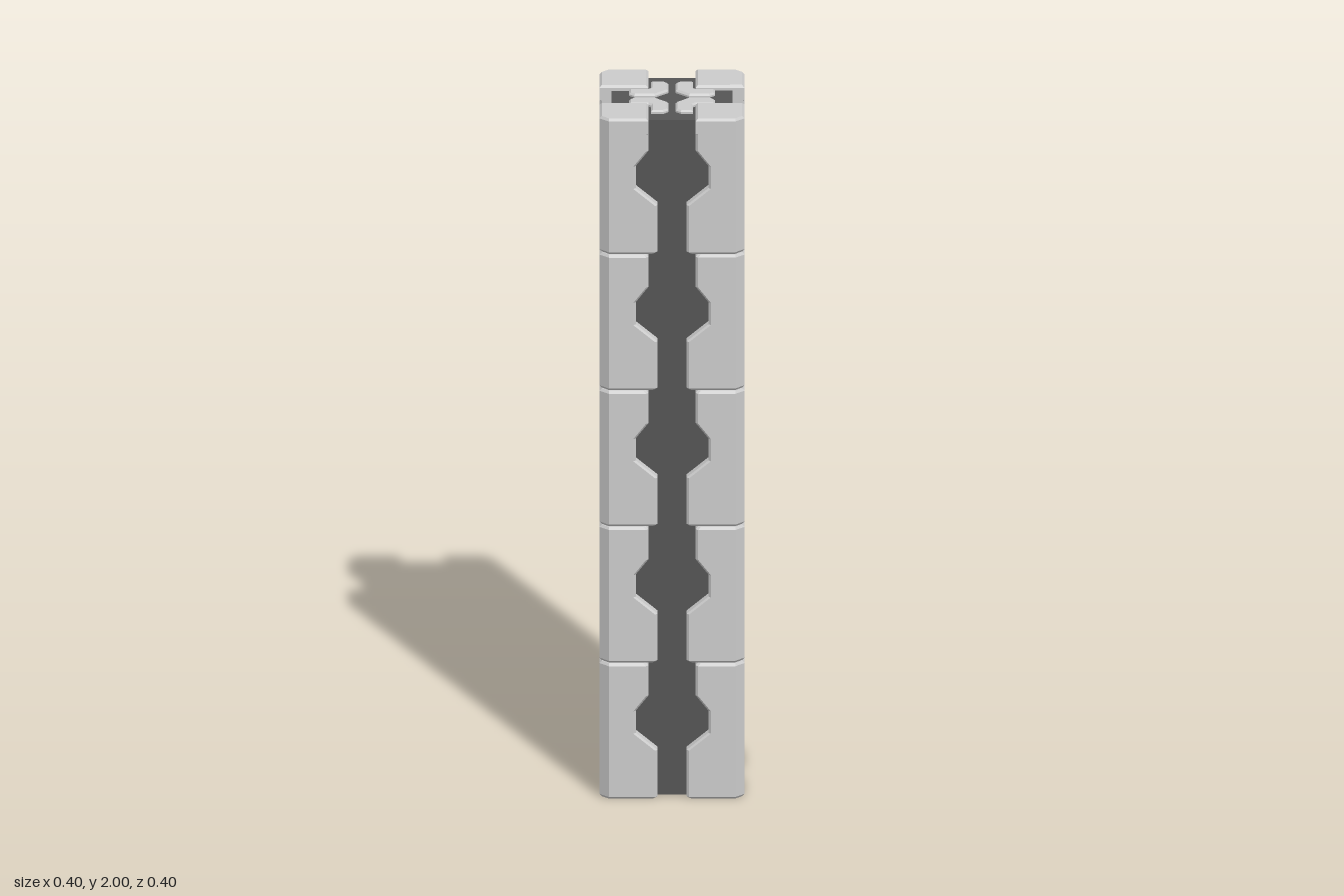
import * as THREE from 'three';

const grey = new THREE.MeshStandardMaterial({ color: 0xcccccc, flatShading: true });
const dark = new THREE.MeshStandardMaterial({ color: 0x555555, flatShading: true });

const SEG = 0.4, OUT = 0.2, BEV = 0.007;

// L-shaped cross-section of a corner plate; e = inner edge of both wings, b = inset of the outer faces
function section(e, b) {
  const o = OUT - b, c = 0.174, i = 0.165, k = 0.127;
  return [[e, o - BEV], [e + BEV, o], [c, o], [o, c], [o, e + BEV], [o - BEV, e],
    [i, e], [i, k], [k, i], [e, i]];
}

// Joins equal-length loops ([x, z] lists at height y) and closes both ends
function loft(levels) {
  const pos = [];
  const put = (l, i) => pos.push(l.pts[i][0], l.y, l.pts[i][1]);
  const n = levels[0].pts.length;
  for (let k = 0; k < levels.length - 1; k++) {
    const lo = levels[k], hi = levels[k + 1];
    for (let i = 0; i < n; i++) {
      const j = (i + 1) % n;
      put(lo, i); put(lo, j); put(hi, j);
      put(lo, i); put(hi, j); put(hi, i);
    }
  }
  for (const [l, up] of [[levels[0], false], [levels[levels.length - 1], true]]) {
    const pts = l.pts.map(p => new THREE.Vector2(p[0], p[1]));
    for (const [a, b, c] of THREE.ShapeUtils.triangulateShape(pts, [])) {
      const ab = pts[b].clone().sub(pts[a]), ac = pts[c].clone().sub(pts[a]);
      const facesUp = ab.y * ac.x - ab.x * ac.y > 0;
      for (const v of facesUp === up ? [a, b, c] : [a, c, b]) put(l, v);
    }
  }
  const g = new THREE.BufferGeometry();
  g.setAttribute('position', new THREE.Float32BufferAttribute(pos, 3));
  g.computeVertexNormals();
  return g;
}

// Flat bevelled slab from a plan outline, standing on y = 0
function slab(points, height, bevel) {
  const shape = new THREE.Shape(points.map(p => new THREE.Vector2(p[0], p[1])));
  const g = new THREE.ExtrudeGeometry(shape, {
    depth: height - 2 * bevel, bevelSize: bevel, bevelThickness: bevel,
    bevelOffset: -bevel, bevelSegments: 1
  });
  g.translate(0, 0, bevel);
  g.rotateX(-Math.PI / 2);
  return g;
}

export function createModel() {
  const model = new THREE.Group();
  model.name = 'segmentedColumn';

  function add(parent, name, geometry, material, y = 0) {
    const m = new THREE.Mesh(geometry, material);
    m.name = name;
    m.position.y = y;
    parent.add(m);
    return m;
  }

  // Plate with a notched edge: [height, wing edge, bevel inset]
  const plateGeo = loft([
    [0.002, 0.047, BEV], [0.002 + BEV, 0.04, 0], [0.145, 0.04, 0], [0.195, 0.1, 0],
    [0.26, 0.1, 0], [0.305, 0.065, 0], [SEG - BEV, 0.065, 0], [SEG, 0.072, BEV]
  ].map(([y, e, b]) => ({ y, pts: section(e, b) })));

  // Solid cap closing the top of each corner
  const capGeo = slab([[0.065, 0.065], [OUT, 0.065], [OUT, 0.174], [0.174, OUT], [0.065, OUT]], 0.05, BEV);

  // Small angled pads around the centre of the top
  const padGeo = slab([[0.01, 0.047], [0.047, 0.01], [0.104, 0.01], [0.118, 0.024], [0.118, 0.058],
    [0.066, 0.058], [0.058, 0.066], [0.058, 0.118], [0.024, 0.118], [0.01, 0.104]], 0.025, 0.005);

  // Dark wall seen in the gap between neighbouring plates
  const wallGeo = new THREE.BoxGeometry(0.26, 1.975, 0.02);
  wallGeo.translate(0, 1.975 / 2 + 0.004, 0.157);

  for (let q = 0; q < 4; q++) {
    const corner = new THREE.Group();
    corner.name = 'corner' + (q + 1);
    corner.rotation.y = q * Math.PI / 2;
    for (let s = 0; s < 5; s++) add(corner, 'cornerPlate' + (s + 1), plateGeo, grey, s * SEG);
    add(corner, 'cornerCap', capGeo, grey, 1.95);
    add(corner, 'topPad', padGeo, grey, 1.97);
    add(corner, 'coreWall', wallGeo, dark);
    model.add(corner);
  }

  // Lid of the hollow core
  add(model, 'coreLid', new THREE.BoxGeometry(0.333, 0.03, 0.333), dark, 1.97);

  return model;
}
